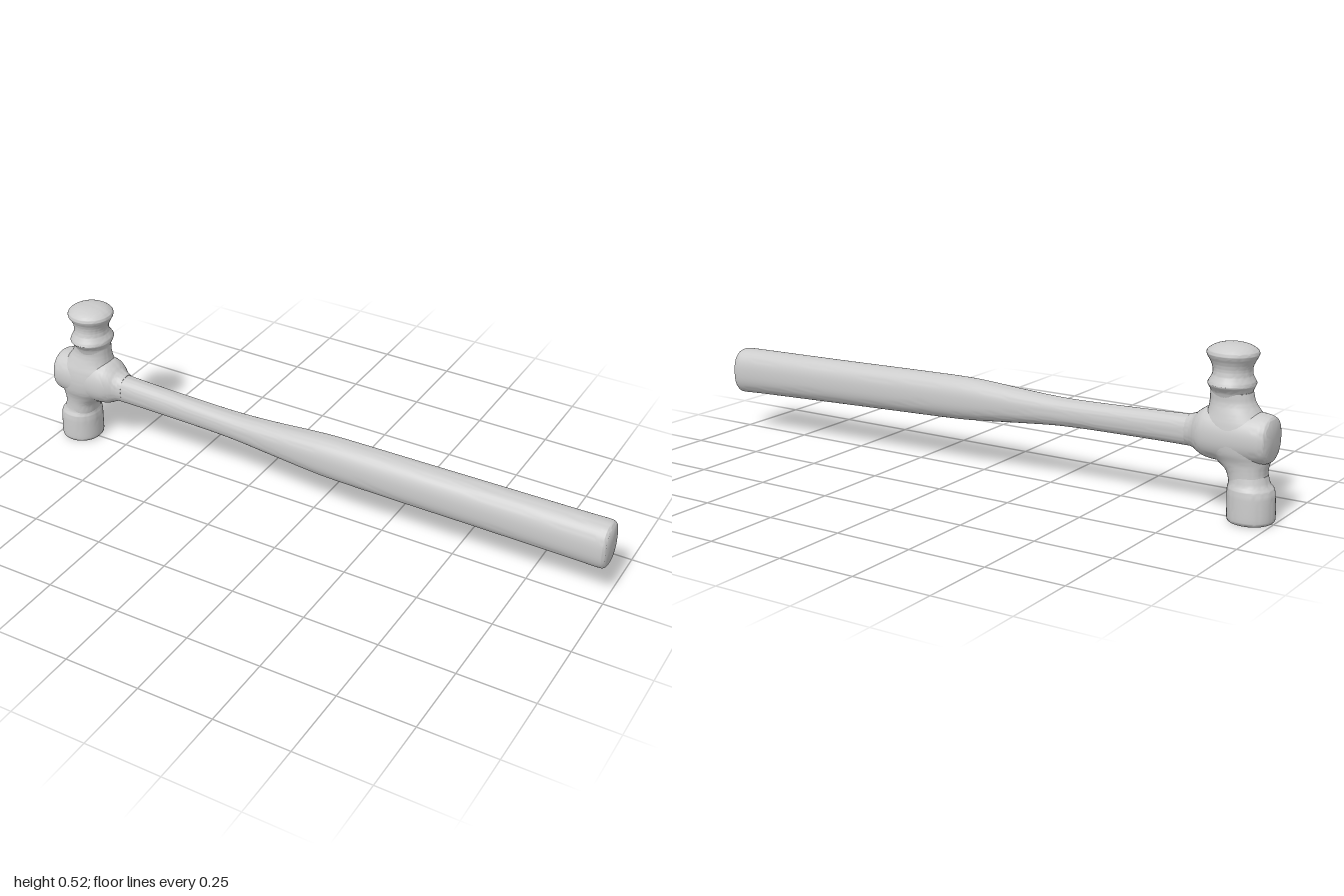
import * as THREE from 'three';
import { toCreasedNormals } from 'three/addons/utils/BufferGeometryUtils.js';

const material = new THREE.MeshStandardMaterial({ color: 0xcccccc });

// Smooth loft through stations [t, centreU, centreV, radiusU, radiusV].
// axis 'y': u = x, v = z; axis 'x': u = z, v = y. power 2 is an ellipse, more is boxier.
function loft(name, axis, stations, power = 2, steps = 5, sides = 48) {
  const curve = (a, b) => new THREE.CatmullRomCurve3(
    stations.map((s) => new THREE.Vector3(s[0], s[a], s[b])), false, 'catmullrom', 0.5);
  const centres = curve(1, 2), radii = curve(3, 4);
  const rows = (stations.length - 1) * steps;
  const positions = [], index = [];
  const put = (t, u, v) => (axis === 'y' ? positions.push(u, t, v) : positions.push(t, v, u));
  const round = (c) => Math.sign(c) * Math.abs(c) ** (2 / power);

  for (let j = 0; j <= rows; j++) {
    const c = centres.getPoint(j / rows), r = radii.getPoint(j / rows);
    for (let i = 0; i < sides; i++) {
      const a = (i / sides) * Math.PI * 2;
      put(c.x, c.y + r.y * round(Math.cos(a)), c.z + r.z * round(Math.sin(a)));
    }
  }
  for (let j = 0; j < rows; j++) {
    for (let i = 0; i < sides; i++) {
      const a = j * sides + i, b = j * sides + ((i + 1) % sides);
      index.push(a, a + sides, b, b, a + sides, b + sides);
    }
  }
  // End caps
  const first = stations[0], last = stations[stations.length - 1];
  const bottom = positions.length / 3, top = bottom + 1, lastRow = rows * sides;
  put(first[0], first[1], first[2]);
  put(last[0], last[1], last[2]);
  for (let i = 0; i < sides; i++) {
    const n = (i + 1) % sides;
    index.push(bottom, i, n, top, lastRow + n, lastRow + i);
  }
  const geometry = new THREE.BufferGeometry();
  geometry.setAttribute('position', new THREE.Float32BufferAttribute(positions, 3));
  geometry.setIndex(index);
  const mesh = new THREE.Mesh(toCreasedNormals(geometry, 0.7), material);
  mesh.name = name;
  return mesh;
}

export function createModel() {
  const hammer = new THREE.Group();
  hammer.name = 'ballPeenHammer';

  const head = new THREE.Group();
  head.name = 'head';
  head.add(
    // Striking face, leaning slightly with the head
    loft('strikingFace', 'y', [
      [0, -0.929, 0, 0.062, 0.062],
      [0.003, -0.929, 0, 0.067, 0.067],
      [0.012, -0.929, 0, 0.07, 0.07],
      [0.05, -0.928, 0, 0.07, 0.07],
      [0.09, -0.926, 0, 0.069, 0.069],
      [0.103, -0.924, 0, 0.066, 0.067],
      [0.115, -0.92, 0, 0.06, 0.06],
      [0.14, -0.915, 0.002, 0.057, 0.057],
    ], 2.1, 3),
    // Waist and cheeks running up to the peen neck
    loft('cheeks', 'y', [
      [0.11, -0.918, 0.002, 0.056, 0.057],
      [0.15, -0.91, 0.002, 0.061, 0.058],
      [0.18, -0.895, 0.003, 0.082, 0.063],
      [0.21, -0.88, 0.003, 0.1, 0.074],
      [0.25, -0.872, 0.003, 0.108, 0.078],
      [0.29, -0.87, 0.003, 0.1, 0.073],
      [0.32, -0.866, 0.002, 0.08, 0.064],
      [0.35, -0.858, 0.002, 0.067, 0.055],
      [0.38, -0.854, 0.002, 0.062, 0.055],
    ], 2.2),
    // Boss around the handle socket, flat at its outer end
    loft('eyeBoss', 'x', [
      [-0.988, 0.002, 0.25, 0.054, 0.058],
      [-0.982, 0.002, 0.25, 0.064, 0.067],
      [-0.96, 0.002, 0.25, 0.072, 0.073],
      [-0.9, 0.002, 0.25, 0.077, 0.079],
      [-0.84, 0.002, 0.25, 0.077, 0.081],
      [-0.79, 0.003, 0.25, 0.072, 0.077],
      [-0.765, 0.004, 0.248, 0.062, 0.066],
      [-0.745, 0.006, 0.245, 0.049, 0.053],
      [-0.72, 0.008, 0.242, 0.04, 0.047],
    ], 2.2),
    // Collar ring, neck and domed peen
    loft('peen', 'y', [
      [0.36, -0.853, 0.003, 0.06, 0.053],
      [0.382, -0.853, 0.003, 0.062, 0.061],
      [0.4, -0.853, 0.003, 0.069, 0.076],
      [0.408, -0.853, 0.003, 0.068, 0.074],
      [0.43, -0.854, 0.002, 0.058, 0.061],
      [0.452, -0.854, 0.001, 0.059, 0.059],
      [0.47, -0.854, 0, 0.067, 0.064],
      [0.488, -0.854, 0, 0.076, 0.074],
      [0.5, -0.854, 0, 0.073, 0.071],
      [0.512, -0.854, 0, 0.055, 0.053],
      [0.519, -0.854, 0, 0.032, 0.031],
      [0.522, -0.854, 0, 0.002, 0.002],
    ]),
  );

  // Slim neck swelling into a long oval grip that bends a little to the back
  const handle = loft('handle', 'x', [
    [-0.78, 0.008, 0.242, 0.042, 0.05],
    [-0.7, 0.009, 0.24, 0.038, 0.046],
    [-0.5, 0.009, 0.236, 0.038, 0.043],
    [-0.3, 0.009, 0.232, 0.041, 0.043],
    [-0.15, 0.009, 0.229, 0.047, 0.052],
    [0, 0.007, 0.227, 0.054, 0.064],
    [0.1, 0.005, 0.225, 0.056, 0.069],
    [0.3, 0.0, 0.221, 0.057, 0.071],
    [0.6, -0.009, 0.215, 0.058, 0.073],
    [0.9, -0.017, 0.209, 0.059, 0.076],
    [0.975, -0.02, 0.207, 0.06, 0.077],
    [0.992, -0.02, 0.207, 0.057, 0.074],
    [0.998, -0.02, 0.207, 0.05, 0.066],
  ], 2.4);

  hammer.add(head, handle);
  return hammer;
}
